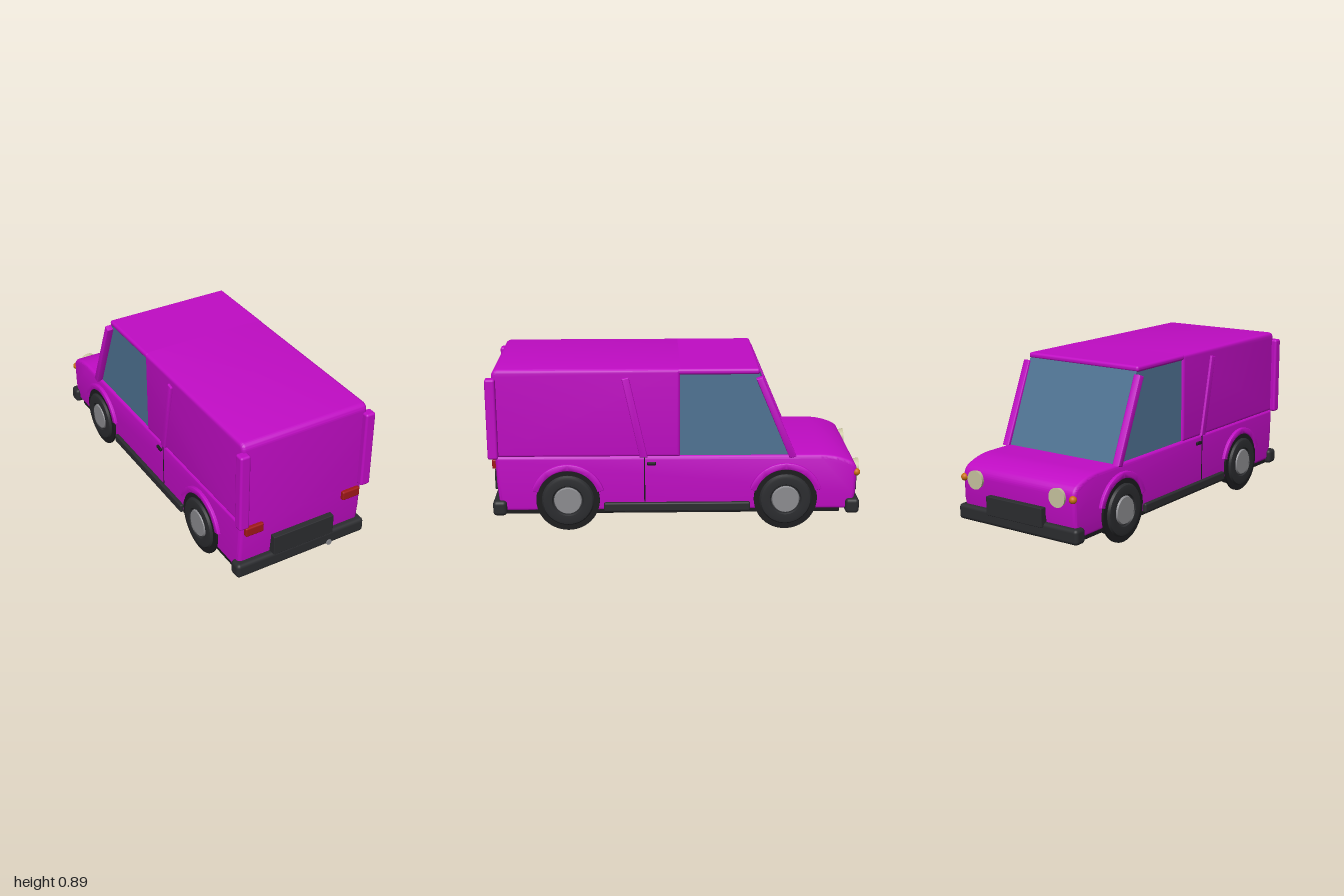
import * as THREE from 'three';
import { RoundedBoxGeometry } from 'three/addons/geometries/RoundedBoxGeometry.js';
import { toCreasedNormals } from 'three/addons/utils/BufferGeometryUtils.js';

const mat = (color) => new THREE.MeshStandardMaterial({ color });

export function createModel() {
  const van = new THREE.Group();
  const paint = mat(0xc00cc4), glass = mat(0x4f7393), black = mat(0x1c1c1e), trim = mat(0x2b2c2f);
  const grey = mat(0x8c8c90), red = mat(0xa01818), amber = mat(0xc87010), lamp = mat(0xc8c4a0);

  const add = (name, geo, material, x = 0, y = 0, z = 0, parent = van) => {
    const m = new THREE.Mesh(geo, material);
    m.name = name;
    m.position.set(x, y, z);
    parent.add(m);
    return m;
  };
  // Box given by its limits on each axis
  const box = (name, material, [x0, x1], [y0, y1], [z0, z1], r = 0.008) =>
    add(name, new RoundedBoxGeometry(x1 - x0, y1 - y0, z1 - z0, 3, r), material,
      (x0 + x1) / 2, (y0 + y1) / 2, (z0 + z1) / 2);
  // Side profile (forward distance, height) extruded across the width
  const across = (shape, half, bevel, cx = 0) => {
    const g = new THREE.ExtrudeGeometry(shape, {
      depth: 2 * (half - bevel), bevelEnabled: bevel > 0, bevelSize: bevel, bevelOffset: -bevel,
      bevelThickness: bevel, bevelSegments: 4, curveSegments: 16,
    });
    g.translate(0, 0, bevel - half);
    g.rotateY(Math.PI / 2);
    g.translate(cx, 0, 0);
    return toCreasedNormals(g, 0.6);
  };
  const poly = (pts) => new THREE.Shape(pts.map((p) => new THREE.Vector2(...p)));

  // Lower body with rounded bonnet
  const body = new THREE.Shape();
  body.moveTo(-0.945, 0.105);
  body.lineTo(0.945, 0.105);
  body.lineTo(0.965, 0.2);
  body.lineTo(0.968, 0.32);
  body.quadraticCurveTo(0.968, 0.36, 0.93, 0.378);
  body.quadraticCurveTo(0.86, 0.412, 0.77, 0.412);
  body.lineTo(-0.965, 0.414);
  body.lineTo(-0.96, 0.25);
  add('lowerBody', across(body, 0.367, 0.02), paint);

  // Cargo box with rounded rear top edge
  const cargo = new THREE.Shape();
  cargo.moveTo(-0.965, 0.405);
  cargo.lineTo(0.02, 0.405);
  cargo.lineTo(0.02, 0.887);
  cargo.lineTo(-0.93, 0.887);
  cargo.quadraticCurveTo(-0.968, 0.885, -0.968, 0.845);
  add('cargoBox', across(cargo, 0.364, 0.02), paint);

  // Cab glass and roof
  add('cabGlass', across(poly([[0, 0.405], [0.622, 0.405], [0.432, 0.865], [0, 0.865]]), 0.352, 0), glass);
  box('cabRoof', paint, [-0.362, 0.362], [0.855, 0.887], [-0.437, 0.0], 0.014);

  // Underside: floor, muffler and small covers
  box('floor', black, [-0.36, 0.36], [0.088, 0.115], [-0.88, 0.97], 0.004);
  box('muffler', trim, [-0.12, 0.13], [0.068, 0.1], [0.01, 0.22]);
  box('gearboxCover', trim, [-0.2, -0.06], [0.074, 0.1], [0.22, 0.3]);
  box('engineCover', black, [-0.12, 0.12], [0.07, 0.1], [-0.66, -0.5]);
  const pipe = add('exhaustPipe', new THREE.CylinderGeometry(0.016, 0.016, 0.2, 20), grey, 0.167, 0.1, 0.89);
  pipe.rotation.x = Math.PI / 2;

  // Bumpers and plates
  box('rearBumper', trim, [-0.39, 0.39], [0.085, 0.167], [0.91, 0.985], 0.02);
  box('frontBumper', trim, [-0.39, 0.39], [0.085, 0.167], [-0.985, -0.91], 0.02);
  box('rearPlate', trim, [-0.182, 0.182], [0.165, 0.277], [0.95, 0.994], 0.004);
  box('frontPlate', trim, [-0.182, 0.182], [0.145, 0.245], [-1, -0.955], 0.004);

  // Wheel arch ring segment, outline in the side plane
  const archShape = new THREE.Shape();
  archShape.absarc(0, 0, 0.2, 0.28, Math.PI - 0.28, false);
  archShape.absarc(0, 0, 0.165, Math.PI - 0.28, 0.28, true);
  const archGeo = across(archShape, 0.014, 0.005);
  const wheelProfile = [[0, -0.055], [0.125, -0.055], [0.14, -0.042], [0.14, 0.042], [0.132, 0.053],
    [0.12, 0.056], [0.085, 0.054], [0.08, 0.045], [0, 0.045]].map((p) => new THREE.Vector2(...p));
  const tyreGeo = toCreasedNormals(new THREE.LatheGeometry(wheelProfile, 40), 0.6);

  for (const s of [-1, 1]) {
    const span = (a, b) => (s > 0 ? [a, b] : [-b, -a]);

    // Wheels with thin dark discs behind them
    for (const z of [0.582, -0.585]) {
      const wheel = new THREE.Group();
      wheel.name = z > 0 ? 'rearWheel' : 'frontWheel';
      wheel.position.set(s * 0.339, 0.17, z);
      wheel.rotation.z = -s * Math.PI / 2;
      van.add(wheel);
      add('tyre', tyreGeo, trim, 0, 0, 0, wheel);
      add('wheelWellDisc', new THREE.CylinderGeometry(0.17, 0.17, 0.012, 48), black, 0, 0.034, 0, wheel);
      add('hubcap', new THREE.CylinderGeometry(0.07, 0.076, 0.012, 32), grey, 0, 0.049, 0, wheel);
      add('wheelArch', archGeo, paint, s * 0.37, 0.17, z);
    }

    // Side trim
    box('sill', trim, span(0.33, 0.386), [0.105, 0.153], [-0.395, 0.39], 0.008);
    box('doorSeam', black, span(0.36, 0.369), [0.155, 0.405], [0.168, 0.174], 0.001);
    box('doorHandle', black, span(0.36, 0.378), [0.362, 0.38], [0.11, 0.157], 0.005);
    box('rearCornerPost', paint, span(0.336, 0.393), [0.405, 0.842], [0.945, 1], 0.012);
    const aPillar = poly([[0.602, 0.4], [0.638, 0.41], [0.45, 0.848], [0.416, 0.835]]);
    add('windscreenPillar', across(aPillar, 0.021, 0.006, s * 0.366), paint);
    const bPillar = poly([[-0.196, 0.408], [-0.155, 0.408], [-0.25, 0.845], [-0.288, 0.838]]);
    add('sidePillar', across(bPillar, 0.013, 0.005, s * 0.363), paint);

    // Lamps
    box('tailLight', red, span(0.24, 0.345), [0.338, 0.39], [0.95, 0.984], 0.008);
    const head = add('headlight', new THREE.CylinderGeometry(0.05, 0.042, 0.035, 32), lamp, s * 0.268, 0.312, -0.969);
    head.rotation.x = -Math.PI / 2;
    add('indicator', new THREE.SphereGeometry(0.02, 20, 14), amber, s * 0.355, 0.312, -0.966);
  }
  return van;
}
